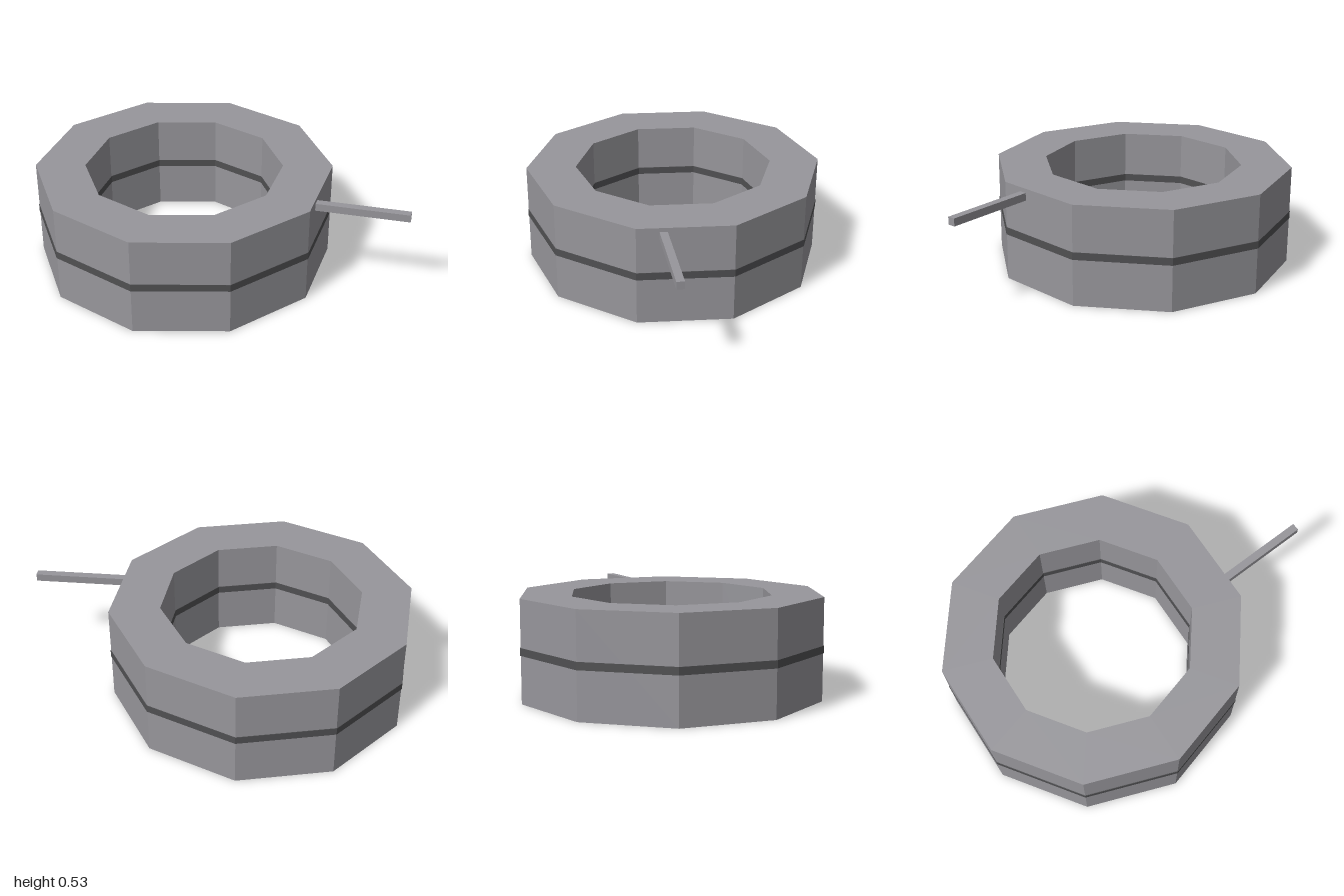
import * as THREE from 'three';

const CENTRE_X = -0.204;
const BODY_COLOR = 0x97969b;
const BAND_COLOR = 0x505052;

// Ten-sided ring of rectangular section, one corner pointing along +x
function decagonRing(name, inner, outer, y0, y1, color) {
  const profile = [[inner, y0], [outer, y0], [outer, y1], [inner, y1], [inner, y0]]
    .map(([r, y]) => new THREE.Vector2(r, y));
  const mesh = new THREE.Mesh(
    new THREE.LatheGeometry(profile, 10, Math.PI / 2),
    new THREE.MeshStandardMaterial({ color, flatShading: true })
  );
  mesh.name = name;
  mesh.position.x = CENTRE_X;
  return mesh;
}

export function createModel() {
  const group = new THREE.Group();
  group.name = 'ringWithRod';

  // Main body and the thin dark band that wraps its inside and outside
  group.add(decagonRing('ringBody', 0.528, 0.793, 0, 0.53, BODY_COLOR));
  group.add(decagonRing('darkBand', 0.525, 0.796, 0.246, 0.285, BAND_COLOR));

  // Slim square rod sticking out of the side, near the top
  const length = 0.5;
  const rod = new THREE.Mesh(
    new THREE.BoxGeometry(length, 0.04, 0.04).translate(-length / 2, 0, 0),
    new THREE.MeshStandardMaterial({ color: BODY_COLOR, flatShading: true })
  );
  rod.name = 'rod';
  rod.rotation.y = THREE.MathUtils.degToRad(22.7);
  rod.position.set(0.992, 0.488, -0.315);
  group.add(rod);

  return group;
}
